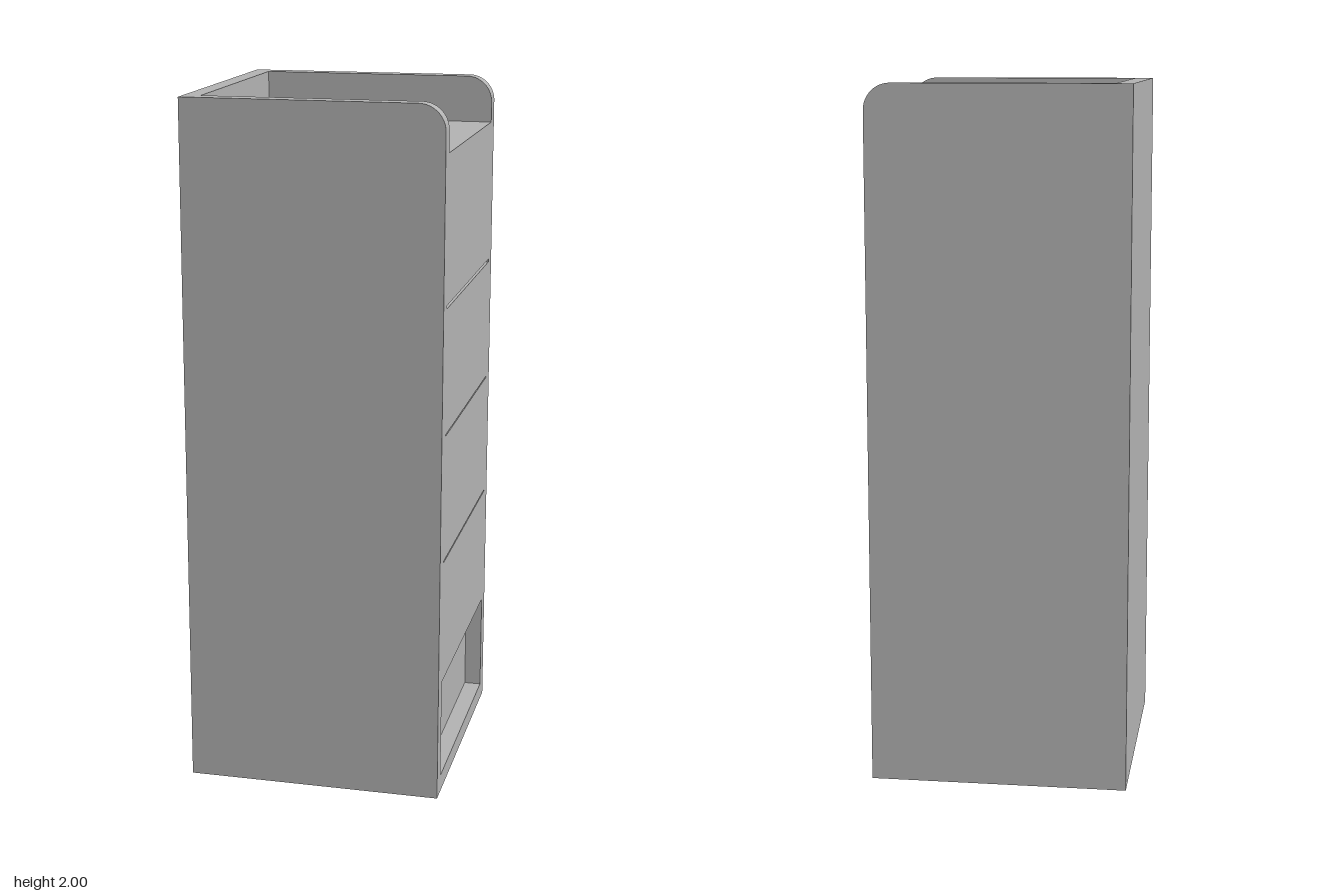
import * as THREE from 'three';

const X = 0.37, Z = 0.395, T = 0.05, H = 2, R = 0.075, TRAY = 1.865;

export function createModel() {
  const group = new THREE.Group();
  const grey = new THREE.MeshStandardMaterial({ color: 0xb4b4b4 });
  grey.name = 'plain grey';

  const add = (name, geometry) => {
    const mesh = new THREE.Mesh(geometry, grey);
    mesh.name = name;
    group.add(mesh);
    return mesh;
  };
  // Box given by its limits; z is symmetric
  const box = (name, x0, x1, y0, y1, halfZ) =>
    add(name, new THREE.BoxGeometry(x1 - x0, y1 - y0, halfZ * 2))
      .position.set((x0 + x1) / 2, (y0 + y1) / 2, 0);

  // Side panels with the top front corner rounded
  const profile = new THREE.Shape();
  profile.moveTo(-X, 0);
  profile.lineTo(X, 0);
  profile.lineTo(X, H - R);
  profile.absarc(X - R, H - R, R, 0, Math.PI / 2, false);
  profile.lineTo(-X, H);
  profile.closePath();
  const panel = new THREE.ExtrudeGeometry(profile, { depth: T, bevelEnabled: false, curveSegments: 16 });
  add('leftSidePanel', panel).position.z = -Z;
  add('rightSidePanel', panel).position.z = Z - T;

  // Back panel and the body that carries the top tray
  const inner = Z - T;
  box('backPanel', -X, -X + T, 0, H, inner);
  box('body', -X + T, X - T, 0, TRAY, inner);

  // Bottom rail and drawer fronts, split by narrow gaps above the open recess
  box('bottomRail', X - T, X, 0, 0.05, inner);
  const fronts = [[0.343, 0.706], [0.71, 1.077], [1.081, 1.44], [1.449, TRAY]];
  fronts.forEach(([y0, y1], i) => box(`drawerFront${i + 1}`, X - T, X, y0, y1, inner));

  return group;
}
